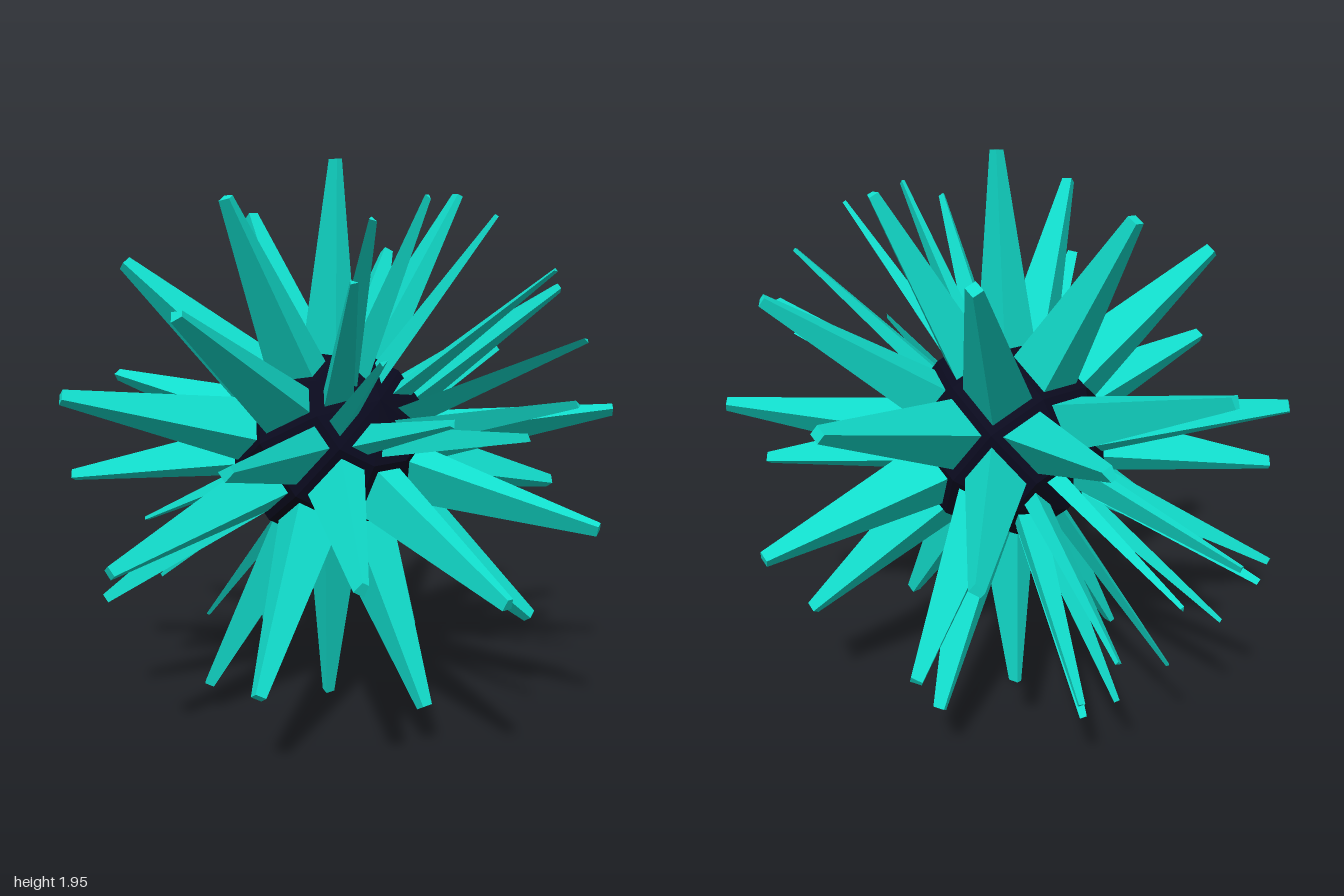
import * as THREE from 'three';

const SEGMENTS = 10, RINGS = 5;
const RADIUS = 0.36;   // core
const REACH = 1.064;   // radius of the sphere whose face centres are the spike tips
const GAP = 0.026;     // half the width of the dark bars between spikes
const TIP = 0.23;      // tip size relative to the base

// Point on the core sphere at a grid position
function gridPoint(segment, ring) {
  const az = (segment - 0.5) * 2 * Math.PI / SEGMENTS;
  return new THREE.Vector3().setFromSphericalCoords(RADIUS, ring * Math.PI / RINGS, az);
}

function average(points) {
  return points.reduce((sum, p) => sum.add(p), new THREE.Vector3()).divideScalar(points.length);
}

// Move every edge of a face inward by the same distance
function inset(points, distance) {
  const n = points.length;
  return points.map((p, i) => {
    const before = p.clone().sub(points[(i + n - 1) % n]).normalize();
    const after = points[(i + 1) % n].clone().sub(p).normalize();
    const sine = before.clone().cross(after).length();
    return p.clone().addScaledVector(after.sub(before), distance / sine);
  });
}

// Tapered spike standing on one face of the core
function spikeGeometry(face) {
  const base = inset(face, GAP);
  const middle = average(base);
  const end = average(face).multiplyScalar(REACH / RADIUS);
  const tip = base.map(p => p.clone().sub(middle).multiplyScalar(TIP).add(end));
  const corners = [];
  const n = base.length;
  for (let i = 0; i < n; i++) {
    const j = (i + 1) % n;
    corners.push(base[i], base[j], tip[j], base[i], tip[j], tip[i]);
  }
  for (let i = 1; i < n - 1; i++) corners.push(tip[0], tip[i], tip[i + 1]);
  const geometry = new THREE.BufferGeometry().setFromPoints(corners);
  geometry.computeVertexNormals();
  return geometry;
}

export function createModel() {
  const model = new THREE.Group();
  model.name = 'spikyBall';
  const teal = new THREE.MeshStandardMaterial({ color: 0x11dccb, flatShading: true });
  teal.name = 'teal';
  const dark = new THREE.MeshStandardMaterial({ color: 0x0a0a1e, flatShading: true });
  dark.name = 'darkNavy';

  const ball = new THREE.Group();
  ball.name = 'ball';
  model.add(ball);

  // Dark faceted core
  const core = new THREE.Mesh(new THREE.SphereGeometry(RADIUS, SEGMENTS, RINGS), dark);
  core.name = 'core';
  ball.add(core);

  // One spike per core face; faces at the poles are triangles
  for (let ring = 0; ring < RINGS; ring++) {
    for (let s = 0; s < SEGMENTS; s++) {
      const face = [];
      face.push(gridPoint(s, ring));
      face.push(gridPoint(s, ring + 1));
      if (ring < RINGS - 1) face.push(gridPoint(s + 1, ring + 1));
      if (ring > 0) face.push(gridPoint(s + 1, ring));
      const spike = new THREE.Mesh(spikeGeometry(face), teal);
      spike.name = 'spike';
      ball.add(spike);
    }
  }

  // Tilt the pole axis forward
  const pole = new THREE.Vector3(0.121, 0.5285, 0.84).normalize();
  const side = pole.clone().cross(new THREE.Vector3(-0.126, 0.848, -0.515)).normalize();
  const up = side.clone().cross(pole);
  ball.quaternion.setFromRotationMatrix(new THREE.Matrix4().makeBasis(side, pole, up));
  ball.position.y = 0.977;
  return model;
}
